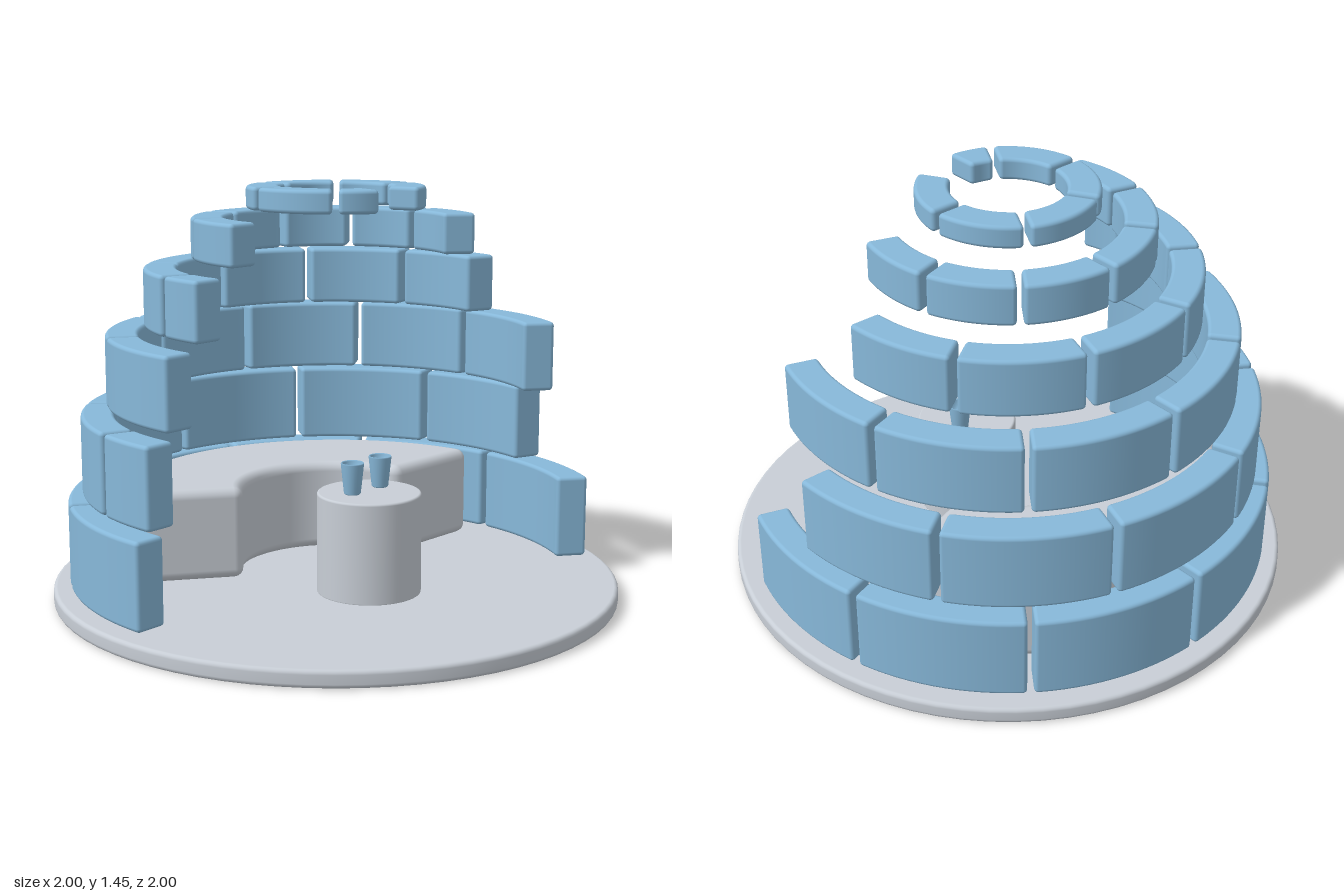
import * as THREE from 'three';

const RAD = Math.PI / 180;

// Curved block with rounded edges: a rounded rectangle swept from angle a0 to a1
// (degrees, 0 = straight back, positive toward +x). Each end is trimmed by half the gap.
function arcBlock(rIn, rOut, y0, y1, a0, a1, bevel, gap) {
  const corners = [[rOut - bevel, y1 - bevel], [rIn + bevel, y1 - bevel], [rIn + bevel, y0 + bevel], [rOut - bevel, y0 + bevel]];
  const ring = [];
  const Q = 4;
  corners.forEach(([r, y], c) => {
    for (let k = 0; k <= Q; k++) {
      const a = (c + k / Q) * Math.PI / 2;
      ring.push({ r, y, dr: Math.cos(a), dy: Math.sin(a) });
    }
  });

  // stations: rounded start, the arc itself, rounded end
  const stations = [];
  const steps = Math.max(6, Math.ceil((a1 - a0) / 3));
  for (let k = 0; k < Q; k++) stations.push([0, k / Q * Math.PI / 2, -1]);
  for (let k = 0; k <= steps; k++) stations.push([k / steps, Math.PI / 2, 0]);
  for (let k = Q - 1; k >= 0; k--) stations.push([1, k / Q * Math.PI / 2, 1]);

  const pos = [], nor = [], idx = [], N = ring.length;
  for (const [u, t, side] of stations) {
    const a = (a0 + (a1 - a0) * u) * RAD, s = Math.sin(a), c = Math.cos(a);
    const out = side * Math.cos(t);
    const shift = (gap / 2 + bevel) * (1 - 2 * u) + bevel * out;
    for (const p of ring) {
      const r = p.r + bevel * Math.sin(t) * p.dr;
      const y = p.y + bevel * Math.sin(t) * p.dy;
      pos.push(r * s + shift * c, y, -r * c + shift * s);
      const nr = Math.sin(t) * p.dr;
      nor.push(nr * s + out * c, Math.sin(t) * p.dy, -nr * c + out * s);
    }
  }
  for (let i = 0; i < stations.length - 1; i++) {
    for (let j = 0; j < N; j++) {
      const a = i * N + j, b = i * N + (j + 1) % N;
      idx.push(a, b, a + N, b, b + N, a + N);
    }
  }
  // flat end caps
  const q = Q + 1, e = (stations.length - 1) * N;
  idx.push(0, 2 * q, q, 0, 3 * q, 2 * q);
  idx.push(e, e + q, e + 2 * q, e, e + 2 * q, e + 3 * q);

  const g = new THREE.BufferGeometry();
  g.setAttribute('position', new THREE.Float32BufferAttribute(pos, 3));
  g.setAttribute('normal', new THREE.Float32BufferAttribute(nor, 3));
  g.setIndex(idx);
  return g;
}

// Disc with softly rounded rims
function roundedDisc(radius, y0, y1, b) {
  const pts = [new THREE.Vector2(0, y0)];
  for (let k = 0; k <= 4; k++) {
    const a = (k / 4 - 1) * Math.PI / 2;
    pts.push(new THREE.Vector2(radius - b + b * Math.cos(a), y0 + b + b * Math.sin(a)));
  }
  for (let k = 0; k <= 4; k++) {
    const a = k / 4 * Math.PI / 2;
    pts.push(new THREE.Vector2(radius - b + b * Math.cos(a), y1 - b + b * Math.sin(a)));
  }
  pts.push(new THREE.Vector2(0, y1));
  return new THREE.LatheGeometry(pts, 72);
}

export function createModel() {
  const model = new THREE.Group();
  model.name = 'brickDomeShelter';
  const blue = new THREE.MeshStandardMaterial({ color: 0x87b8d9 });
  blue.name = 'iceBlue';
  const grey = new THREE.MeshStandardMaterial({ color: 0xc8ced6 });
  grey.name = 'paleGrey';

  const add = (name, geometry, material, parent = model) => {
    const mesh = new THREE.Mesh(geometry, material);
    mesh.name = name;
    parent.add(mesh);
    return mesh;
  };

  // round floor
  add('floor', roundedDisc(1, 0, 0.06, 0.015), grey);

  // brick rows: joint angles alternate so that the seams are staggered
  const even = [-109.3, -74, -37, 0, 37, 74, 109.3];
  const odd = [-109.3, -91.5, -56.3, -18.8, 18.8, 56.3, 91.3];
  const rows = [
    { r: 0.94, y0: 0.07, y1: 0.37, joints: even },
    { r: 0.89, y0: 0.39, y1: 0.67, joints: odd },
    { r: 0.80, y0: 0.695, y1: 0.945, joints: even },
    { r: 0.665, y0: 0.965, y1: 1.17, joints: odd },
    { r: 0.50, y0: 1.195, y1: 1.34, joints: even },
    { r: 0.31, y0: 1.365, y1: 1.445, joints: [-180, -150, -90, -30, 30, 90, 150] },
  ];
  rows.forEach(({ r, y0, y1, joints }, i) => {
    const row = new THREE.Group();
    row.name = `brickRow${i + 1}`;
    model.add(row);
    for (let k = 0; k < joints.length - 1; k++) {
      add('brick', arcBlock(r - 0.115, r, y0, y1, joints[k], joints[k + 1], 0.014, 0.022), blue, row);
    }
  });

  // curved bench along the back wall
  add('bench', arcBlock(0.33, 0.755, 0.06, 0.39, -72.5, 72.5, 0.035, 0), grey);

  // round table
  const table = add('table', roundedDisc(0.18, 0.055, 0.41, 0.008), grey);
  table.position.z = 0.23;

  // two tapered cups
  const cupProfile = [[0, 0], [0.025, 0], [0.029, 0.004], [0.04, 0.106], [0.038, 0.11], [0.034, 0.106], [0.03, 0.07], [0, 0.07]]
    .map(([x, y]) => new THREE.Vector2(x, y));
  for (const [x, z] of [[-0.067, 0.23], [0.07, 0.185]]) {
    const cup = add('cup', new THREE.LatheGeometry(cupProfile, 28), blue);
    cup.position.set(x, 0.41, z);
  }
  return model;
}
